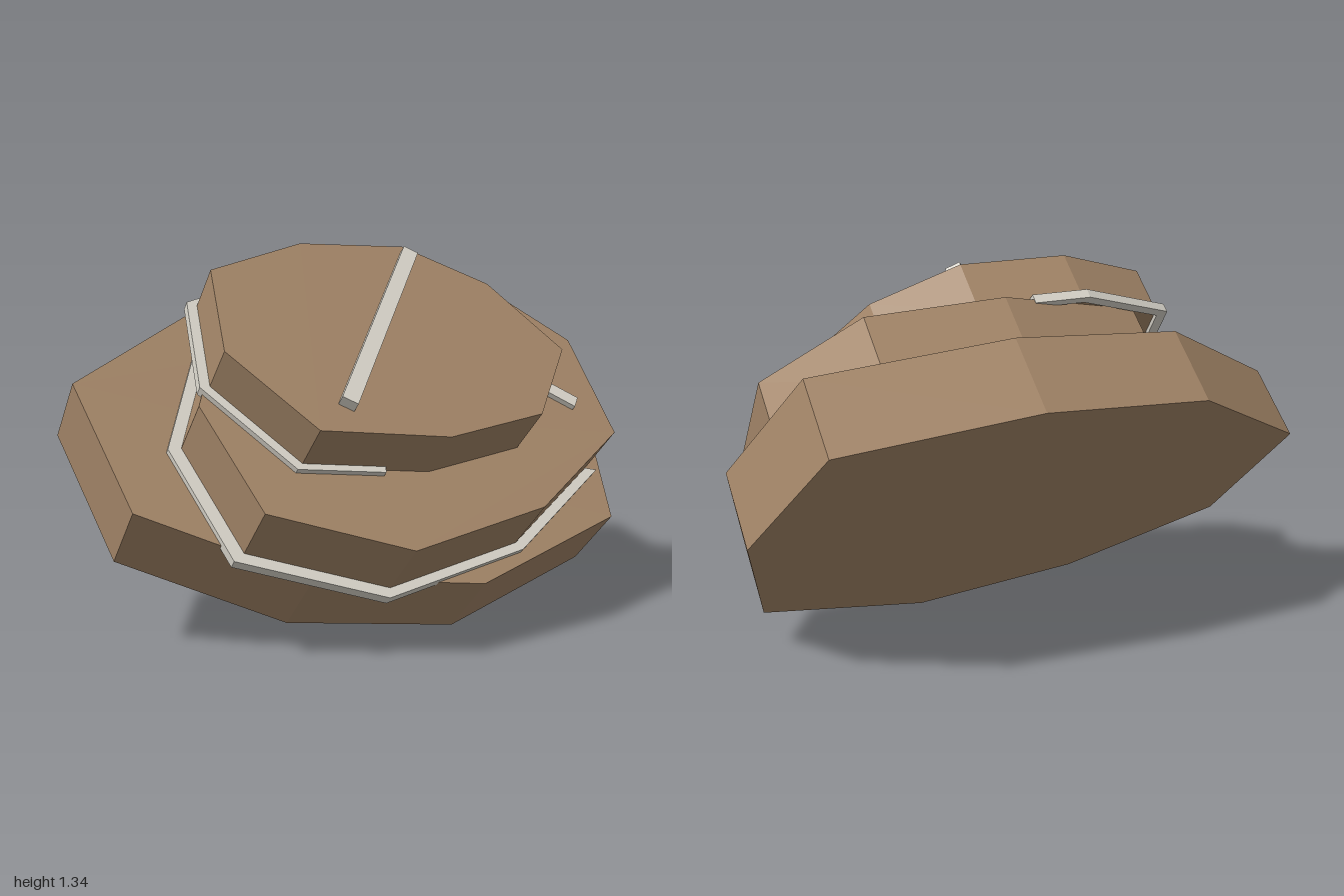
import * as THREE from 'three';

export function createModel() {
  const brown = new THREE.MeshStandardMaterial({ color: 0xa58769 });
  brown.name = 'brown stone';
  const pale = new THREE.MeshStandardMaterial({ color: 0xdad6cc });
  pale.name = 'pale trim';

  const model = new THREE.Group();
  model.name = 'steppedRock';
  // Everything is stacked along local z, then leaned back by 45 degrees
  const stack = new THREE.Group();
  stack.name = 'tiltedStack';
  stack.rotation.x = -Math.PI / 4;
  model.add(stack);

  // Flat polygon extruded from height n0 to n1
  const slab = (name, points, n0, n1, material) => {
    const shape = new THREE.Shape(points.map(([x, y]) => new THREE.Vector2(x, y)));
    const geometry = new THREE.ExtrudeGeometry(shape, { depth: n1 - n0, bevelEnabled: false });
    const mesh = new THREE.Mesh(geometry, material);
    mesh.name = name;
    mesh.position.z = n0;
    stack.add(mesh);
  };
  const lerp = (a, b, t) => [a[0] + (b[0] - a[0]) * t, a[1] + (b[1] - a[1]) * t];

  // Narrow ledge following part of a slab outline
  const trim = (name, path, center, scale, n0, n1) => {
    const outer = path.map((p) => lerp(center, p, scale));
    const inner = path.map((p) => lerp(center, p, 0.99));
    slab(name, [...outer, ...inner.reverse()], n0, n1, pale);
  };

  // Straight bar lying on a slab
  const bar = (name, a, b, width, n0, n1) => {
    const dx = b[0] - a[0], dy = b[1] - a[1];
    const mesh = new THREE.Mesh(
      new THREE.BoxGeometry(Math.hypot(dx, dy), width, n1 - n0), pale);
    mesh.name = name;
    mesh.position.set((a[0] + b[0]) / 2, (a[1] + b[1]) / 2, (n0 + n1) / 2);
    mesh.rotation.z = Math.atan2(dy, dx);
    stack.add(mesh);
  };

  // Three nine-sided slabs, outlines counterclockwise
  const lower = [[-1, 0.76], [-0.935, 0.235], [-0.42, -0.087], [0.19, -0.203], [0.85, -0.02],
    [1, 0.495], [0.85, 1.0], [0.18, 1.117], [-0.45, 1.075]];
  const middle = [[-0.715, 0.45], [-0.63, 0.03], [-0.18, -0.17], [0.37, -0.077], [0.83, 0.19],
    [0.855, 0.63], [0.57, 0.948], [0.08, 1.002], [-0.485, 0.88]];
  const upper = [[-0.665, 0.51], [-0.605, 0.85], [-0.24, 0.965], [0.16, 0.945], [0.44, 0.757],
    [0.61, 0.437], [0.38, 0.17], [-0.01, 0.113], [-0.455, 0.183]];
  slab('lowerSlab', lower, 0.205, 0.49, brown);
  slab('middleSlab', middle, 0.49, 0.735, brown);
  slab('upperSlab', upper.slice().reverse(), 0.735, 0.927, brown);

  // Trim around the middle slab, open on its left side
  const lowerPath = [6, 7, 8, 0, 1, 2, 3, 4].map((i) => middle[i]);
  trim('lowerTrim', lowerPath, [0.06, 0.42], 1.06, 0.475, 0.51);

  // Trim around the right half of the upper slab, with a short piece on the other side
  const upperPath = [lerp(upper[7], upper[8], 0.36), upper[8], upper[0], upper[1], upper[2],
    lerp(upper[2], upper[3], 0.5)];
  trim('upperTrim', upperPath, [-0.03, 0.54], 1.055, 0.72, 0.755);
  trim('upperTrimPiece', [upper[5], lerp(upper[5], upper[6], 0.4)], [-0.03, 0.54], 1.05, 0.72, 0.75);

  // Loose bars
  bar('sideBar', [0.58, 0.445], [0.715, 0.325], 0.05, 0.72, 0.755);
  bar('topBar', [-0.335, 0.26], [0.16, 0.895], 0.055, 0.92, 0.965);

  return model;
}
